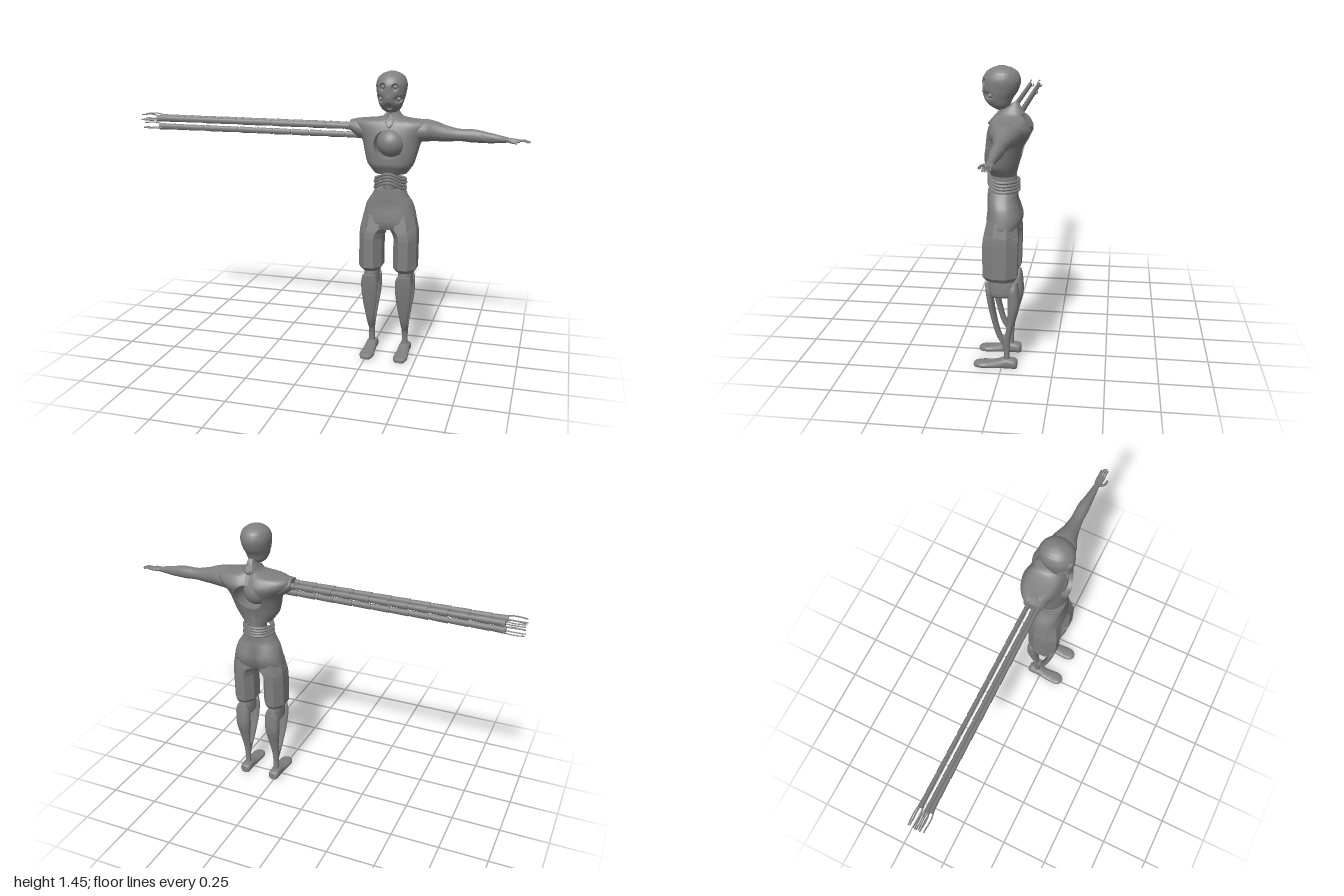
import * as THREE from 'three';
import { toCreasedNormals } from 'three/addons/utils/BufferGeometryUtils.js';

const grey = new THREE.MeshStandardMaterial({ color: 0x808080, side: THREE.DoubleSide });
const flat = new THREE.MeshStandardMaterial({ color: 0x808080, flatShading: true });

function add(parent, name, geometry, material = grey) {
  const mesh = new THREE.Mesh(geometry, material);
  mesh.name = name;
  parent.add(mesh);
  return mesh;
}

// Monotone cubic reading of column c in a table whose first column is the position
function sample(rows, t, c) {
  const last = rows.length - 1;
  const secant = i => (rows[i + 1][c] - rows[i][c]) / (rows[i + 1][0] - rows[i][0]);
  const slope = i => {
    if (i === 0) return secant(0);
    if (i === last) return secant(last - 1);
    const a = secant(i - 1), b = secant(i);
    return a * b <= 0 ? 0 : (2 * a * b) / (a + b);
  };
  let i = 0;
  while (i < last - 1 && t > rows[i + 1][0]) i++;
  const h = rows[i + 1][0] - rows[i][0];
  const s = Math.min(1, Math.max(0, (t - rows[i][0]) / h)), s2 = s * s, s3 = s2 * s;
  return rows[i][c] * (2 * s3 - 3 * s2 + 1) + rows[i + 1][c] * (3 * s2 - 2 * s3)
    + h * (slope(i) * (s3 - 2 * s2 + s) + slope(i + 1) * (s3 - s2));
}

function build(pos, idx) {
  const g = new THREE.BufferGeometry();
  g.setAttribute('position', new THREE.Float32BufferAttribute(pos, 3));
  g.setIndex(idx);
  return toCreasedNormals(g, 0.8);
}

// Capped loft along an axis (0 x, 1 y, 2 z). Rows: [t, a0, a1, b0, b1], a and b being the next two axes
function loft(axis, rows, { n = 20, sub = 4, power = 2, phase = 0, rule } = {}) {
  const pos = [], idx = [], ts = [], grow = phase ? 1 / Math.cos(phase) : 1;
  for (let i = 0; i < rows.length - 1; i++)
    for (let k = 0; k < sub; k++) ts.push(THREE.MathUtils.lerp(rows[i][0], rows[i + 1][0], k / sub));
  ts.push(rows[rows.length - 1][0]);
  const round = v => Math.sign(v) * Math.abs(v) ** (2 / power);
  const put = (t, u, v) => {
    const [a0, a1, b0, b1] = [1, 2, 3, 4].map(c => sample(rows, t, c));
    const p = new THREE.Vector3();
    p.setComponent(axis, t);
    p.setComponent((axis + 1) % 3, (a0 + a1) / 2 + u * (a1 - a0) / 2);
    p.setComponent((axis + 2) % 3, (b0 + b1) / 2 + v * (b1 - b0) / 2);
    if (rule) rule(p);
    pos.push(p.x, p.y, p.z);
  };
  for (const t of ts) for (let j = 0; j < n; j++) {
    const a = phase + (j / n) * Math.PI * 2;
    put(t, round(Math.cos(a)) * grow, round(Math.sin(a)) * grow);
  }
  const end = ts.length - 1;
  put(ts[0], 0, 0);
  put(ts[end], 0, 0);
  const c0 = ts.length * n;
  for (let j = 0; j < n; j++) {
    const q = (j + 1) % n;
    for (let i = 0; i < end; i++) {
      const a = i * n + j, b = i * n + q;
      idx.push(a, b, b + n, a, b + n, a + n);
    }
    idx.push(c0, q, j, c0 + 1, end * n + j, end * n + q);
  }
  return build(pos, idx);
}

// Torso: front and back shells around a round hole that passes right through
function torsoGeometry() {
  const rows = [ // y, half width, front z, back z
    [0.95, 0.08, 0.055, -0.07], [0.97, 0.095, 0.067, -0.073], [1.0, 0.115, 0.083, -0.08],
    [1.05, 0.13, 0.084, -0.095], [1.1, 0.143, 0.08, -0.115], [1.13, 0.16, 0.074, -0.13],
    [1.16, 0.185, 0.067, -0.138], [1.19, 0.205, 0.057, -0.125], [1.207, 0.19, 0.048, -0.113],
    [1.215, 0.1, 0.04, -0.108], [1.227, 0.048, 0.027, -0.102], [1.25, 0.03, 0, -0.09], [1.29, 0.012, -0.055, -0.067]];
  const cy = 1.1, r = 0.072, side = [], outline = [];
  for (let i = 0; i < rows.length - 1; i++) for (let k = 0; k < 4; k++) {
    const y = THREE.MathUtils.lerp(rows[i][0], rows[i + 1][0], k / 4);
    side.push([sample(rows, y, 1), y]);
  }
  side.push([0.012, 1.29]);
  for (let k = -7; k < 8; k++) outline.push([k * 0.01, 0.95]);
  outline.push(...side, ...side.map(([x, y]) => [-x, y]).reverse());
  const n = outline.length, steps = 12, pos = [], idx = [], rings = 2 * steps + 2;
  for (let k = 0; k < rings; k++) {
    const back = k > steps, s = (back ? rings - 1 - k : k) / steps, t = Math.sin(s * Math.PI / 2);
    for (const [ox, oy] of outline) {
      const d = Math.hypot(ox, oy - cy);
      const x = THREE.MathUtils.lerp(ox / d * r, ox, t), y = THREE.MathUtils.lerp(cy + (oy - cy) / d * r, oy, t);
      const f = sample(rows, y, 2), b = sample(rows, y, 3), mid = (f + b) / 2;
      const u = Math.min(1, Math.abs(x) / sample(rows, y, 1));
      const groove = back && y < 1.23 ? 0.014 * Math.exp(-((x / 0.035) ** 2)) : 0;
      pos.push(x, y, mid + ((back ? b : f) - mid) * Math.sqrt(1 - u ** 2.4) + groove);
    }
  }
  for (let k = 0; k < rings; k++) for (let j = 0; j < n; j++) {
    const q = (j + 1) % n, m = (k + 1) % rings;
    idx.push(k * n + j, m * n + j, m * n + q, k * n + j, m * n + q, k * n + q);
  }
  return build(pos, idx);
}

const tube = (points, r, seg = 8, closed = false) => new THREE.TubeGeometry(
  new THREE.CatmullRomCurve3(points.map(p => new THREE.Vector3(...p)), closed), seg, r, 6, closed);

export function createModel() {
  const model = new THREE.Group(), body = new THREE.Group();
  body.name = 'body';
  body.position.x = 0.341;
  model.add(body);

  // Head with pressed-in eye, cheek and mouth hollows
  const hollows = [[-0.03, 1.375, 0.017, 0.022], [0.03, 1.375, 0.017, 0.022], [-0.044, 1.317, 0.019, 0.02],
    [0.044, 1.317, 0.019, 0.02], [0, 1.283, 0.018, 0.01]];
  add(body, 'head', loft(1, [[1.25, 0, 0.03, -0.022, 0.022], [1.268, -0.03, 0.06, -0.046, 0.046],
    [1.3, -0.045, 0.085, -0.06, 0.06], [1.335, -0.068, 0.093, -0.069, 0.069], [1.38, -0.081, 0.094, -0.075, 0.075],
    [1.412, -0.072, 0.08, -0.067, 0.067], [1.435, -0.045, 0.053, -0.043, 0.043], [1.446, -0.012, 0.022, -0.014, 0.014]],
  { n: 72, sub: 7, rule: p => {
    if (p.z > 0.02) for (const [x, y, r, depth] of hollows) {
      const d = Math.hypot(p.x - x, p.y - y) / r;
      if (d < 1) p.z -= depth * Math.min(1, 2.5 * (1 - d));
    }
  } }));
  for (const s of [-1, 1]) {
    add(body, 'eye', new THREE.SphereGeometry(0.01, 14, 10)).position.set(s * 0.03, 1.375, 0.068);
    add(body, 'cheekDisc', new THREE.SphereGeometry(0.011, 14, 10)).position.set(s * 0.044, 1.317, 0.052);
  }
  add(body, 'nose', new THREE.ConeGeometry(0.008, 0.032, 8)).position.set(0, 1.345, 0.088);

  // Torso, chest sphere and throat ring
  add(body, 'torso', torsoGeometry());
  add(body, 'chestSphere', new THREE.SphereGeometry(0.071, 32, 20)).position.set(0, 1.1, 0);
  const throat = add(body, 'throatRing', new THREE.TorusGeometry(0.042, 0.005, 8, 24));
  throat.position.set(0, 1.215, 0.039);
  throat.rotation.x = -0.7;
  throat.scale.x = 0.42;

  // Waist cables, raised at the front, around a central column
  for (let i = 0; i < 4; i++) {
    const pts = [];
    for (let j = 0; j < 24; j++) {
      const a = j / 24 * Math.PI * 2, lift = 0.034 * Math.max(0, Math.cos(a)) ** 3;
      pts.push([Math.sin(a) * (0.077 - 0.003 * (i % 2)), 0.876 + i * 0.015 + lift, Math.cos(a) * 0.07 - 0.003]);
    }
    add(body, 'waistCable', tube(pts, 0.007, 64, true));
  }
  add(body, 'waistColumn', new THREE.CylinderGeometry(0.036, 0.036, 0.15, 20))
    .scale.set(1, 1, 1.7);
  body.children[body.children.length - 1].position.set(0, 0.915, -0.003);

  // Hips with a cleft at the back
  add(body, 'hips', loft(1, [[0.675, -0.07, 0.068, -0.12, 0.12], [0.71, -0.086, 0.078, -0.135, 0.135],
    [0.745, -0.094, 0.076, -0.13, 0.13], [0.8, -0.08, 0.071, -0.115, 0.115], [0.84, -0.07, 0.072, -0.09, 0.09],
    [0.875, -0.07, 0.072, -0.072, 0.072]], { n: 48, power: 2.4, rule: p => {
    const fade = THREE.MathUtils.clamp((0.82 - p.y) / 0.06, 0, 1);
    if (p.z < -0.03) p.z += 0.025 * fade * Math.exp(-((p.x / 0.022) ** 2));
  } }));

  // Legs: the inner faces of the shorts curve together to form the crotch arch
  for (const s of [-1, 1]) {
    const leg = new THREE.Group();
    leg.name = s > 0 ? 'leftLeg' : 'rightLeg';
    leg.position.x = s * 0.087;
    body.add(leg);
    const shorts = [[0.455, 0.062, 0.068, 0.045, 0.045], [0.475, 0.076, 0.085, 0.058, 0.058],
      [0.625, 0.08, 0.086, 0.058, 0.058], [0.65, 0.081, 0.084, 0.066, 0.057], [0.665, 0.081, 0.082, 0.077, 0.056],
      [0.675, 0.081, 0.08, 0.09, 0.055], [0.745, 0.07, 0.066, 0.09, 0.04]];
    add(leg, 'shortsLeg', loft(1, shorts.map(([y, back, front, inner, outer]) =>
      [y, -back, front, s > 0 ? -inner : -outer, s > 0 ? outer : inner]),
    { n: 8, sub: 1, phase: Math.PI / 8 }), flat);
    add(leg, 'knee', loft(1, [[0.372, -0.05, 0.05, -0.03, 0.03], [0.385, -0.062, 0.058, -0.037, 0.037],
      [0.42, -0.062, 0.06, -0.036, 0.036], [0.47, -0.05, 0.055, -0.03, 0.03]], { power: 2.6 }));
    add(leg, 'shin', loft(1, [[0.12, -0.03, -0.006, -0.014, 0.014], [0.16, -0.01, 0.019, -0.018, 0.018],
      [0.2, 0.006, 0.033, -0.023, 0.023], [0.3, 0.029, 0.056, -0.037, 0.037], [0.37, 0.038, 0.069, -0.042, 0.042],
      [0.4, 0.04, 0.073, -0.041, 0.041], [0.432, 0.048, 0.076, -0.033, 0.033]], { power: 2.3 }));
    add(leg, 'calf', loft(1, [[0.1, -0.04, -0.012, -0.014, 0.014], [0.15, -0.043, -0.015, -0.018, 0.018],
      [0.24, -0.065, -0.028, -0.028, 0.028], [0.34, -0.088, -0.03, -0.04, 0.04],
      [0.4, -0.084, -0.03, -0.04, 0.04], [0.445, -0.077, -0.052, -0.025, 0.025]], { power: 2.3 }));
    add(leg, 'ankle', loft(1, [[0.03, -0.043, -0.012, -0.018, 0.018], [0.07, -0.039, -0.012, -0.015, 0.015],
      [0.12, -0.041, -0.004, -0.016, 0.016], [0.165, -0.045, 0.02, -0.018, 0.018]]));
    add(leg, 'foot', loft(2, [[-0.075, -0.02, 0.02, 0.002, 0.04], [-0.065, -0.028, 0.028, 0, 0.047],
      [-0.02, -0.028, 0.028, 0, 0.052], [0.03, -0.031, 0.031, 0, 0.036], [0.09, -0.036, 0.036, 0, 0.029],
      [0.122, -0.028, 0.028, 0, 0.026], [0.135, -0.012, 0.012, 0.005, 0.02]], { power: 2.8 }));
  }

  // Left arm and hand
  add(model, 'leftArm', loft(0, [[0.43, 1.09, 1.202, -0.1, 0.04], [0.5, 1.108, 1.217, -0.1, 0.042],
    [0.55, 1.111, 1.209, -0.086, 0.022], [0.6, 1.112, 1.192, -0.07, 0.01], [0.68, 1.117, 1.176, -0.06, 0],
    [0.73, 1.113, 1.177, -0.06, 0], [0.8, 1.113, 1.166, -0.05, -0.004], [0.9, 1.121, 1.145, -0.037, -0.011]]));
  add(model, 'leftPalm', loft(0, [[0.885, 1.122, 1.145, -0.037, -0.011], [0.92, 1.121, 1.142, -0.044, -0.004],
    [0.952, 1.122, 1.138, -0.044, -0.004]]));
  for (let i = 0; i < 4; i++) {
    const z = -0.039 + i * 0.01, tip = 1 - [0.015, 0.004, 0, 0.008][i];
    add(model, 'leftFinger', tube([[0.945, 1.131, z], [0.975, 1.133, z], [tip, 1.127, z]], 0.0042));
  }
  add(model, 'leftThumb', tube([[0.895, 1.13, -0.012], [0.915, 1.128, 0.008], [0.942, 1.125, 0.012]], 0.006));

  // Right shoulder stub carrying three jointed strands, each ending in a claw
  add(model, 'rightShoulder', loft(0, [[0.135, 1.15, 1.205, -0.06, 0.025], [0.18, 1.115, 1.212, -0.085, 0.035],
    [0.25, 1.09, 1.205, -0.1, 0.04]]));
  const rod = (name, x0, x1, y, z, r0, r1) => {
    const m = add(model, name, new THREE.CylinderGeometry(r1, r0, Math.abs(x1 - x0), 10));
    m.rotation.z = Math.PI / 2;
    m.position.set((x0 + x1) / 2, y, z);
    m.scale.z = 0.7;
  };
  for (const [y, z] of [[1.173, -0.04], [1.173, 0.01], [1.128, -0.015]]) {
    rod('strandCore', 0.22, -0.88, y, z, 0.012, 0.012);
    for (let i = 0; i < 11; i++) rod('strandSegment', 0.2 - i * 0.095, 0.113 - i * 0.095, y, z, 0.0145, 0.0165);
    rod('strandWrist', -0.83, -0.91, y, z, 0.014, 0.018);
    for (let k = 0; k < 3; k++) {
      const a = Math.PI / 2 + k * Math.PI * 2 / 3, dy = Math.sin(a), dz = Math.cos(a);
      add(model, 'claw', tube([[-0.89, y + dy * 0.01, z + dz * 0.009], [-0.935, y + dy * 0.02, z + dz * 0.017],
        [-0.998, y + dy * 0.016, z + dz * 0.014]], 0.0032));
    }
  }
  return model;
}
